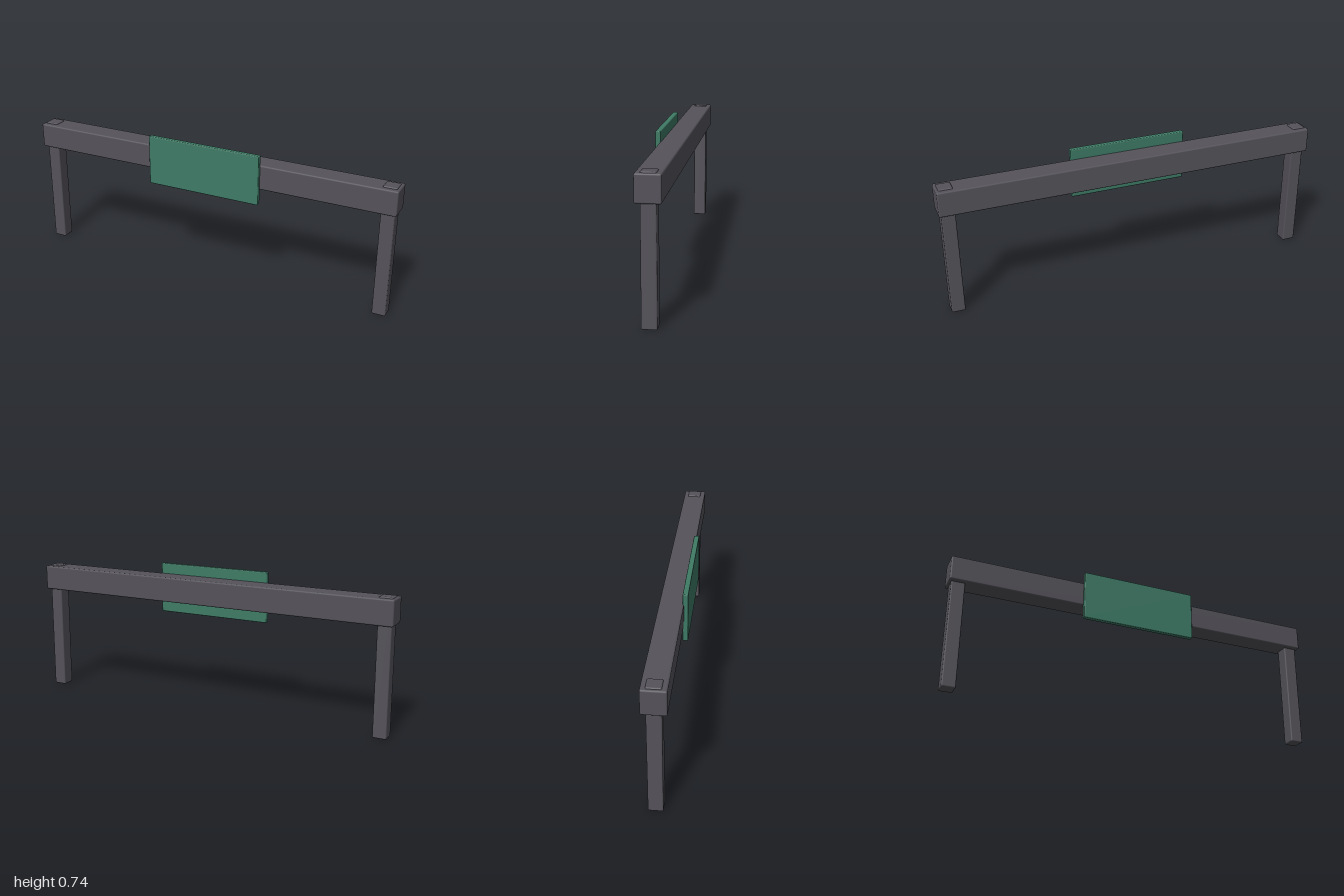
import * as THREE from 'three';
import { RoundedBoxGeometry } from 'three/addons/geometries/RoundedBoxGeometry.js';

export function createModel() {
  const group = new THREE.Group();
  const darkMetal = new THREE.MeshStandardMaterial({ color: 0x55535a });
  darkMetal.name = 'dark grey';
  const greenPaint = new THREE.MeshStandardMaterial({ color: 0x3f7b66 });
  greenPaint.name = 'green';

  // Softly bevelled box given by its minimum and maximum corners
  function block(name, min, max, bevel, material) {
    const size = max.map((v, i) => v - min[i]);
    const mesh = new THREE.Mesh(new RoundedBoxGeometry(...size, 2, bevel), material);
    mesh.position.set(...max.map((v, i) => (v + min[i]) / 2));
    mesh.name = name;
    group.add(mesh);
  }

  // Long crossbeam
  block('crossbeam', [-1, 0.556, -0.069], [1, 0.685, 0.049], 0.008, darkMetal);

  // Posts run up through the beam and stand slightly proud of its top
  for (const [side, x] of [['right', -0.952], ['left', 0.952]]) {
    block(side + 'Post', [x - 0.035, 0, -0.046], [x + 0.035, 0.691, 0.025], 0.007, darkMetal);
  }

  // Sign panel set into the front of the beam
  block('signPanel', [-0.308, 0.478, 0.043], [0.308, 0.739, 0.07], 0.005, greenPaint);

  return group;
}
